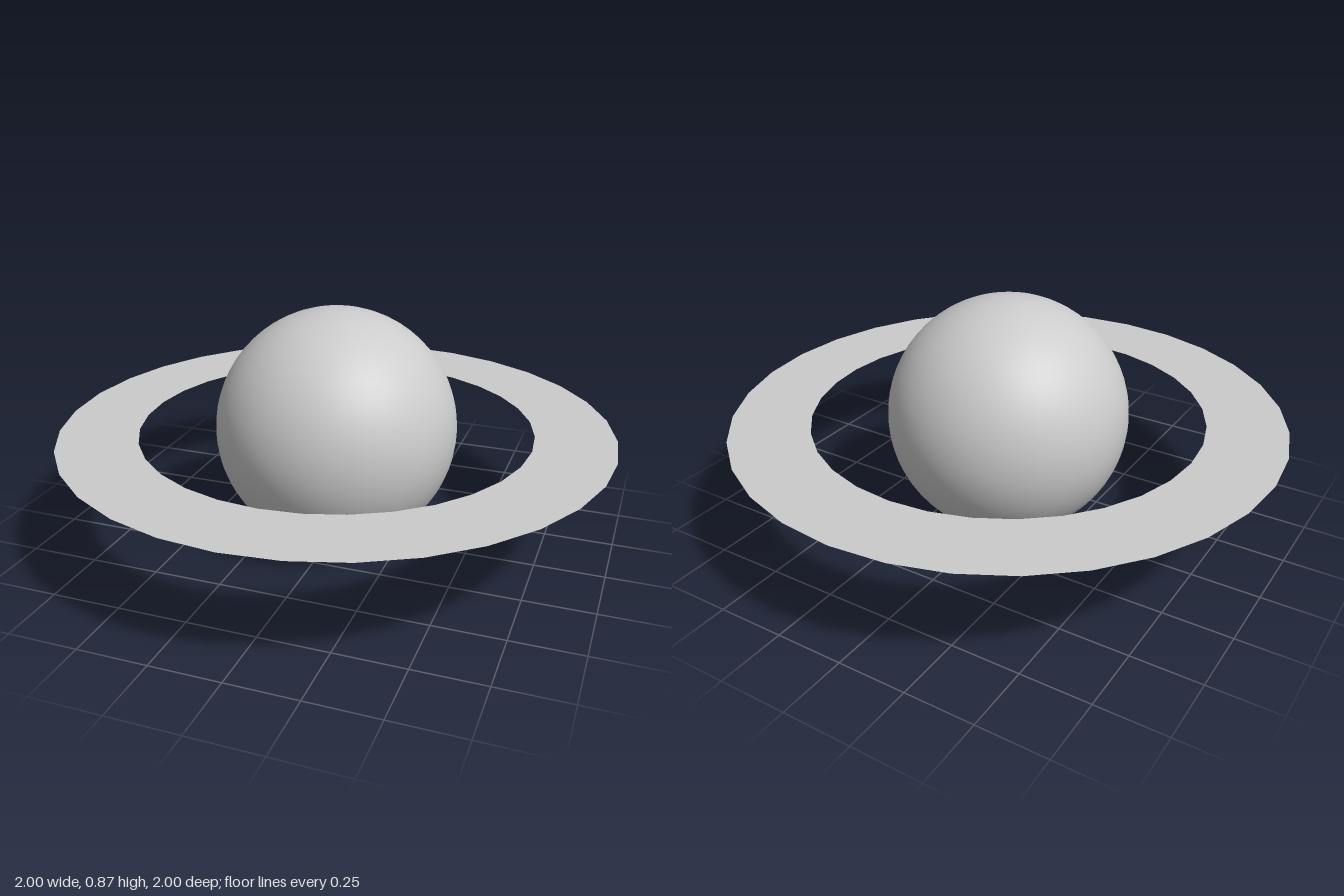
import * as THREE from 'three';

const BODY_RADIUS = 0.437;
const RING_INNER = 0.713;
const RING_OUTER = 1;

export function createModel() {
  const model = new THREE.Group();
  model.name = 'ringedPlanet';

  // Smooth round body resting on the ground
  const planet = new THREE.Mesh(
    new THREE.SphereGeometry(BODY_RADIUS, 64, 32),
    new THREE.MeshStandardMaterial({ color: 0xcccccc })
  );
  planet.name = 'planet';
  planet.position.y = BODY_RADIUS;

  // Flat, paper-thin ring lying level around the equator
  const ring = new THREE.Mesh(
    new THREE.RingGeometry(RING_INNER, RING_OUTER, 32).rotateX(-Math.PI / 2),
    new THREE.MeshStandardMaterial({ color: 0xcccccc, side: THREE.DoubleSide })
  );
  ring.name = 'ring';
  ring.position.y = BODY_RADIUS;

  model.add(planet, ring);
  return model;
}
